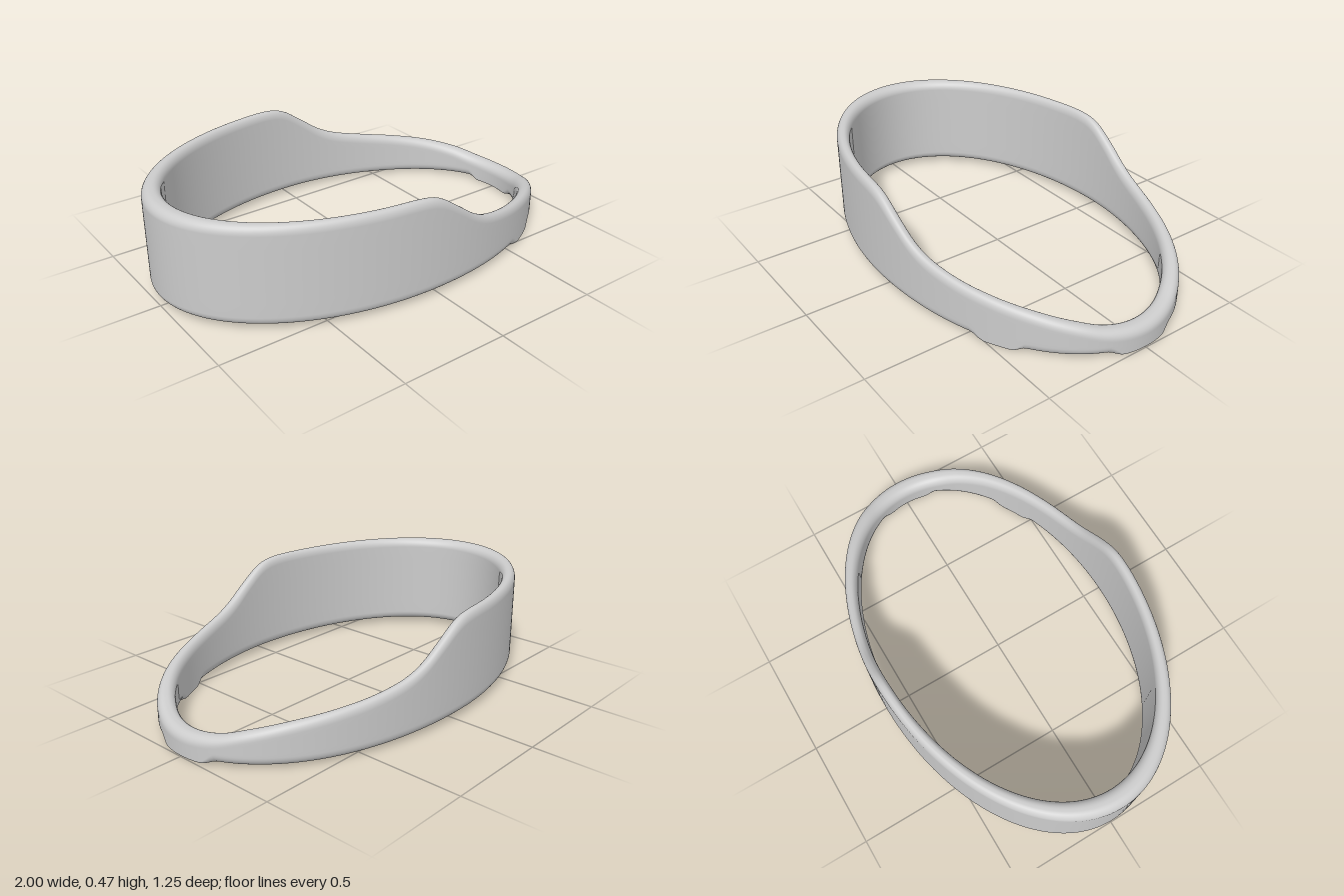
import * as THREE from 'three';

const smooth = THREE.MathUtils.smoothstep;

// Height of the rim along x: tall at one end, swooping down to a low lip
const rim = new THREE.SplineCurve([
  [-1.1, 0.472], [-0.6, 0.472], [-0.3, 0.472], [-0.1, 0.47], [0, 0.447], [0.1, 0.382], [0.2, 0.312],
  [0.3, 0.268], [0.45, 0.234], [0.6, 0.21], [0.75, 0.184], [0.86, 0.153], [0.92, 0.124], [0.96, 0.107],
].map(([x, y]) => new THREE.Vector2(x, y))).getPoints(400);

function rimHeight(x) {
  const i = rim.findIndex((p) => p.x >= x);
  if (i < 1) return rim[rim.length - 1].y;
  const a = rim[i - 1], b = rim[i];
  return a.y + (b.y - a.y) * (x - a.x) / (b.x - a.x);
}

// Rounded upright cross-section as [u across (1 outer, 0 inner), height]
function section(bottom, top, square) {
  const points = [];
  const corners = [[1, 1], [-1, 1], [-1, -1], [1, -1]]; // outer top, inner top, inner bottom, outer bottom
  corners.forEach(([su, sv], c) => {
    const tight = sv < 0 ? 1 - 0.8 * square : 1;
    const ru = 0.44 * tight;
    const rv = 0.04 * tight;
    for (let k = 0; k <= 8; k++) {
      const a = (c + k / 8) * Math.PI / 2;
      const u = 0.5 + su * (0.5 - ru) + ru * Math.cos(a);
      const v = (sv > 0 ? top - rv : bottom + rv) + rv * Math.sin(a);
      points.push([u, v]);
    }
    // extra points down the walls, after the inner top and outer bottom corners
    if (c % 2 === 1) {
      const wallU = c === 1 ? 0 : 1;
      for (let k = 1; k < 6; k++) {
        const f = c === 1 ? 1 - k / 6 : k / 6;
        points.push([wallU, bottom + 0.04 + (top - bottom - 0.08) * f]);
      }
    }
  });
  return points;
}

export function createModel() {
  const group = new THREE.Group();
  const rings = 240;
  const positions = [], index = [];
  let n = 0;

  // Sweep the section round the oval
  for (let i = 0; i < rings; i++) {
    const t = (i / rings) * Math.PI * 2;
    const c = Math.cos(t), s = Math.sin(t);
    const fromTip = Math.min(t, Math.PI * 2 - t);
    const tipFoot = 1 - smooth(fromTip, 0.16, 0.27);
    const sideFoot = 1 - smooth(Math.abs(t - 0.87), 0.07, 0.15);
    const foot = Math.max(tipFoot, sideFoot);
    const bottom = (0.023 - 0.012 * smooth(c, 0, 0.8)) * (1 - foot);
    const pts = section(bottom, rimHeight(c * 0.955), foot);
    n = pts.length;
    for (const [u, y] of pts) {
      positions.push(c * (0.91 + 0.09 * u), y, s * (0.573 + 0.051 * u));
    }
  }
  for (let i = 0; i < rings; i++) {
    for (let j = 0; j < n; j++) {
      const i2 = (i + 1) % rings, j2 = (j + 1) % n;
      const a = i * n + j, b = i * n + j2, d = i2 * n + j, e = i2 * n + j2;
      index.push(a, b, d, b, e, d);
    }
  }
  const geometry = new THREE.BufferGeometry();
  geometry.setAttribute('position', new THREE.Float32BufferAttribute(positions, 3));
  geometry.setIndex(index);
  geometry.computeVertexNormals();

  const band = new THREE.Mesh(geometry, new THREE.MeshStandardMaterial({ color: 0xcccccc }));
  band.name = 'ovalBand';
  group.add(band);
  return group;
}
